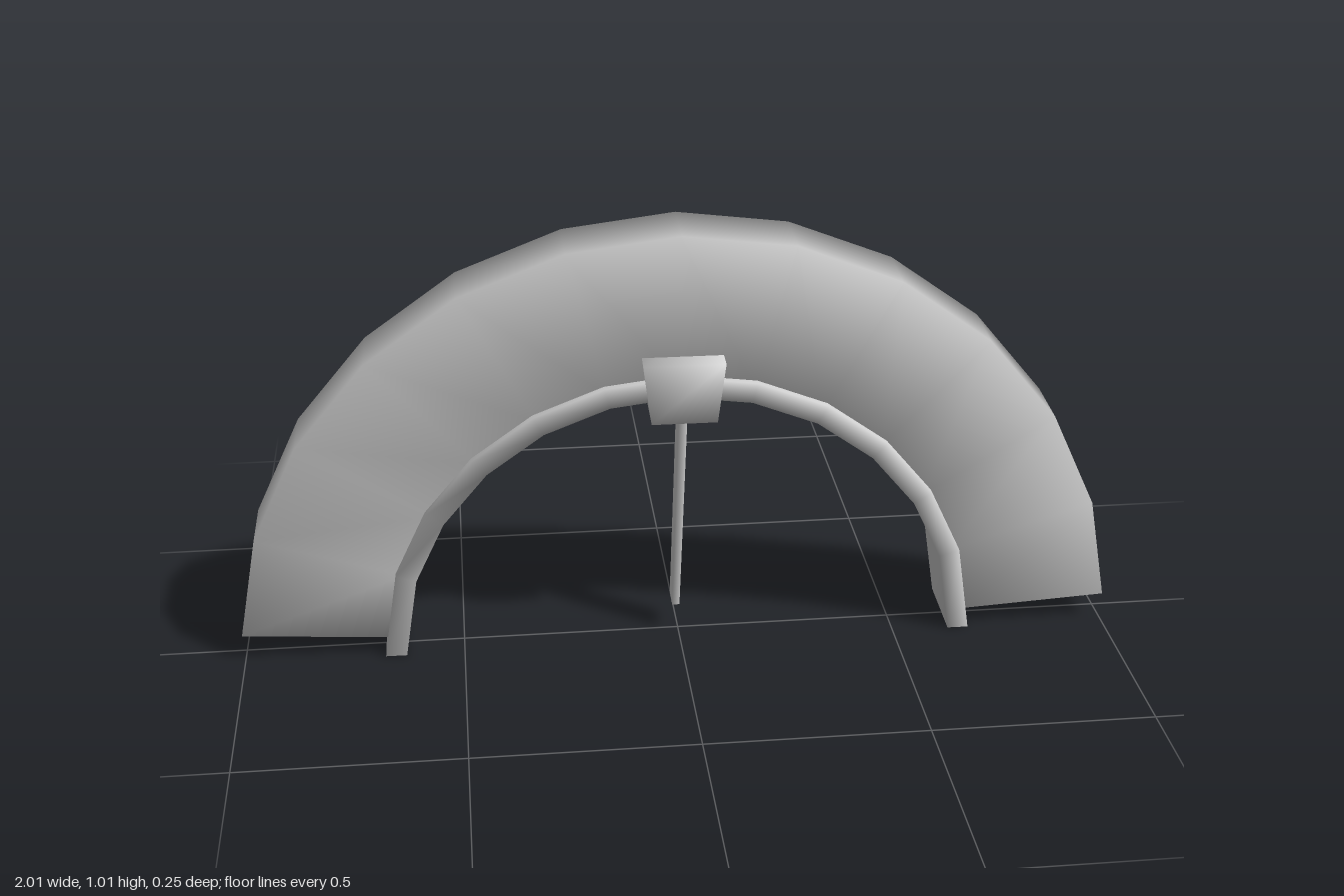
import * as THREE from 'three';
import { mergeVertices } from 'three/addons/utils/BufferGeometryUtils.js';

const material = new THREE.MeshStandardMaterial({ color: 0xcccccc });
const SEGMENTS = 12;

// Rectangular section swept over a half circle; shared corners give soft shading
function archGeometry(inner, outer, halfDepth, startAngle) {
  const first = THREE.MathUtils.degToRad(3.6);
  const step = (Math.PI - 2 * first) / SEGMENTS;
  const section = [[inner, halfDepth], [outer, halfDepth], [outer, -halfDepth], [inner, -halfDepth]];
  const positions = [], index = [];
  for (let i = 0; i <= SEGMENTS; i++) {
    let angle = first + i * step;
    if (i === 0) angle = startAngle;
    if (i === SEGMENTS) angle = Math.PI - startAngle;
    for (const [r, z] of section) positions.push(r * Math.cos(angle), r * Math.sin(angle), z);
  }
  for (let i = 0; i < SEGMENTS; i++) {
    for (let k = 0; k < 4; k++) {
      const a = i * 4 + k, b = i * 4 + (k + 1) % 4;
      index.push(a, b, b + 4, a, b + 4, a + 4);
    }
  }
  // End caps
  const e = SEGMENTS * 4;
  index.push(0, 3, 2, 0, 2, 1, e, e + 1, e + 2, e, e + 2, e + 3);
  const geometry = new THREE.BufferGeometry();
  geometry.setAttribute('position', new THREE.Float32BufferAttribute(positions, 3));
  geometry.setIndex(index);
  geometry.computeVertexNormals();
  return geometry;
}

// Box whose lower end is scaled in x, with normals shared at the corners
function taperedBox(width, height, depth, lowerScale) {
  const box = new THREE.BoxGeometry(width, height, depth);
  box.deleteAttribute('normal');
  box.deleteAttribute('uv');
  const p = box.attributes.position;
  for (let i = 0; i < p.count; i++) if (p.getY(i) < 0) p.setX(i, p.getX(i) * lowerScale);
  const geometry = mergeVertices(box);
  geometry.computeVertexNormals();
  return geometry;
}

export function createModel() {
  const model = new THREE.Group();
  model.name = 'arch';
  const body = new THREE.Group();
  body.name = 'tiltedBody';
  model.add(body);

  const add = (name, geometry, x = 0, y = 0, z = 0) => {
    const mesh = new THREE.Mesh(geometry, material);
    mesh.name = name;
    mesh.position.set(x, y, z);
    body.add(mesh);
    return mesh;
  };

  // Broad outer arch and the narrower, deeper rim lining its inside
  add('outerArch', archGeometry(0.66, 1.005, 0.0725, THREE.MathUtils.degToRad(3.6)));
  add('innerRim', archGeometry(0.632, 0.68, 0.088, 0));

  // Clasp gripping the crown of the rim
  add('clasp', taperedBox(0.18, 0.14, 0.24, 0.81), 0.004, 0.654, 0);

  // Thin hanging bar, leaning slightly
  const bar = add('hangingBar', taperedBox(0.02, 0.55, 0.06, 0.85), 0.003, 0.34, 0);
  bar.rotation.z = -0.03;

  // The whole arch leans forward a little
  body.rotation.set(0.035, -0.0075, 0);
  body.position.set(0, 0.004, -0.02);
  return model;
}
